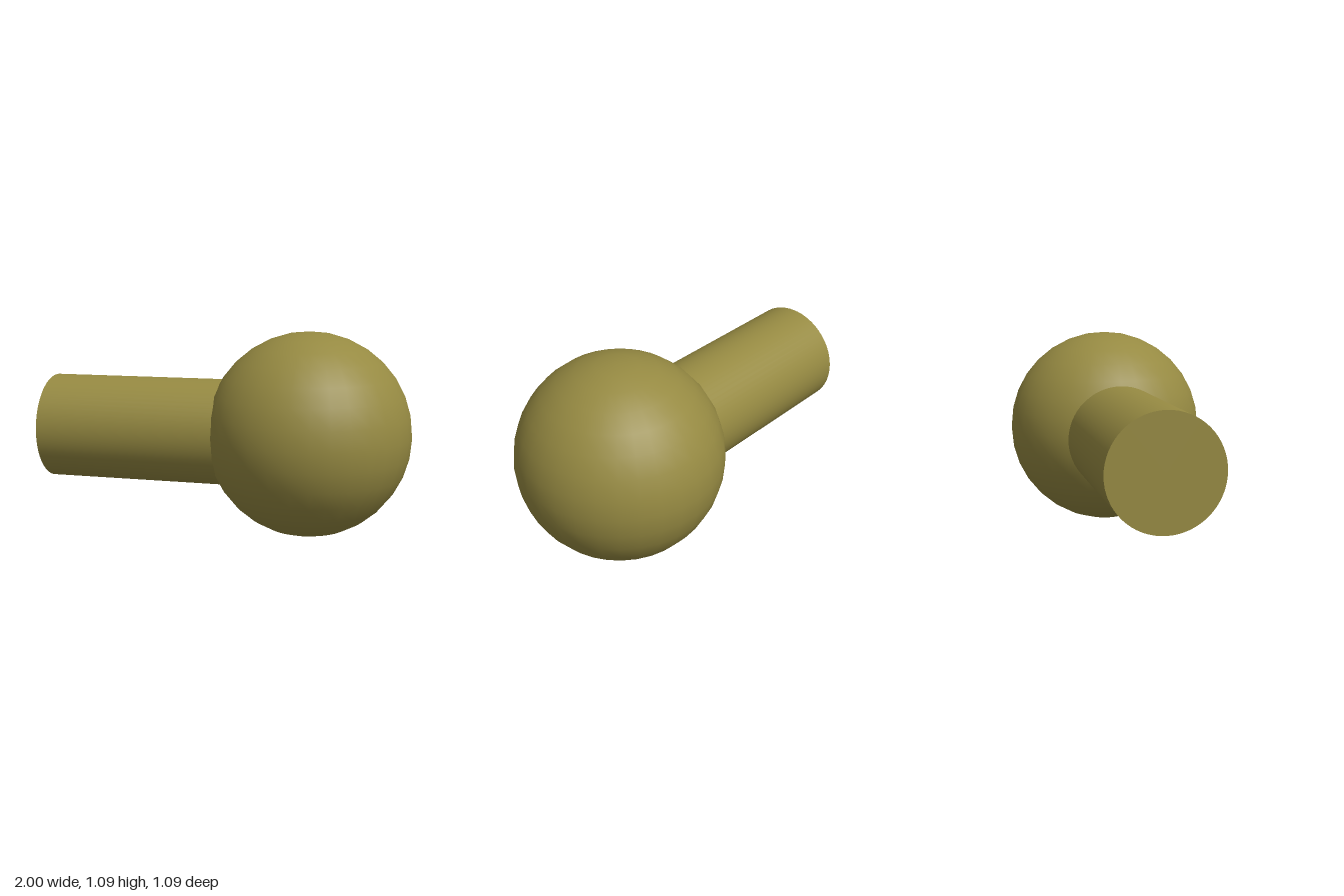
import * as THREE from 'three';

export function createModel() {
  const group = new THREE.Group();
  const material = new THREE.MeshStandardMaterial({ color: 0x968a42 });
  const radius = 0.547;

  // Round head
  const ball = new THREE.Mesh(new THREE.SphereGeometry(radius, 32, 16), material);
  ball.name = 'ball';
  ball.position.set(1 - radius, radius, 0);
  group.add(ball);

  // Straight stem, its inner end buried in the ball and set slightly low
  const left = -1, right = 0.3;
  const stem = new THREE.Mesh(new THREE.CylinderGeometry(0.288, 0.288, right - left, 64), material);
  stem.name = 'stem';
  stem.rotation.z = Math.PI / 2;
  stem.position.set((left + right) / 2, 0.537, 0);
  group.add(stem);

  return group;
}
